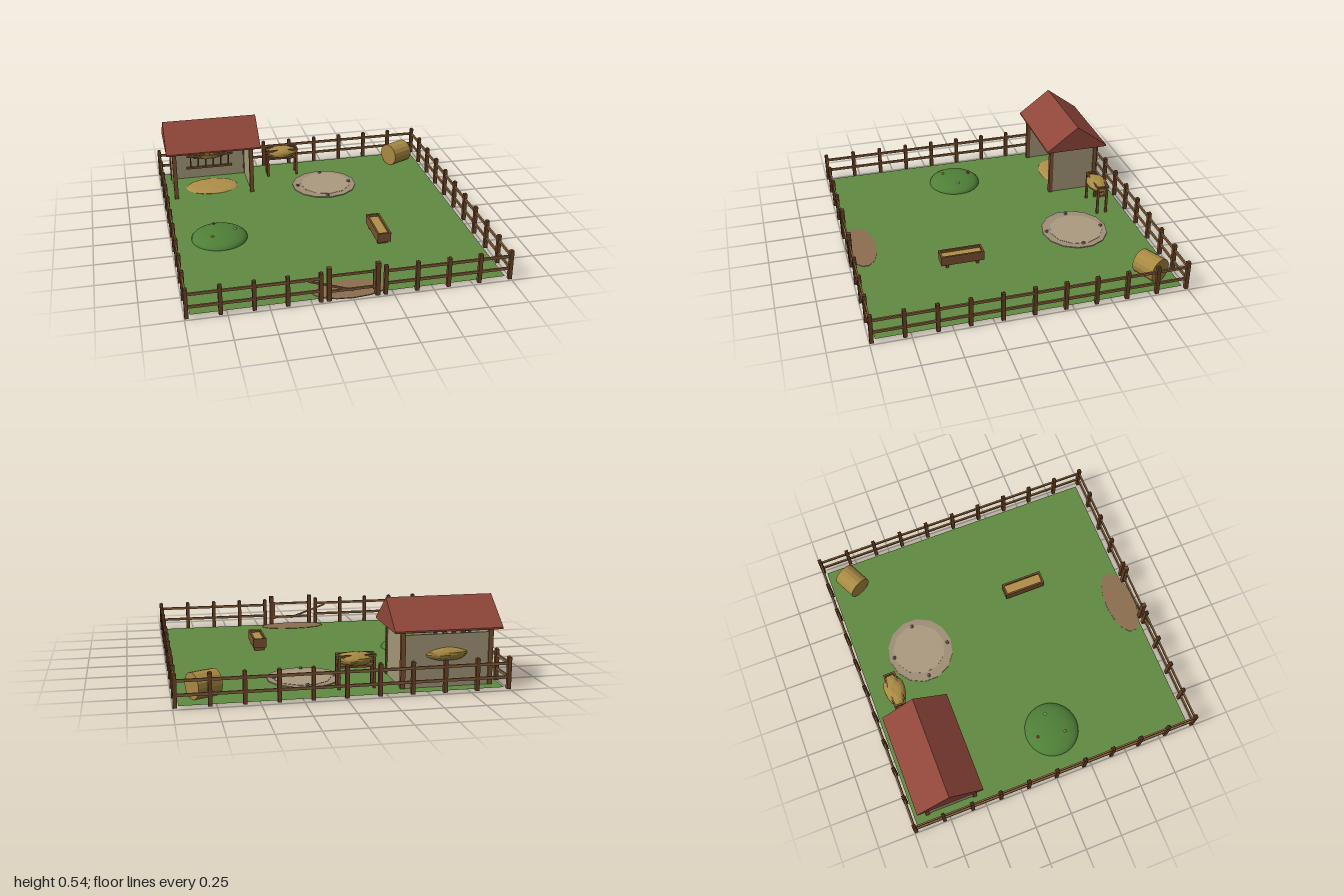
import * as THREE from 'three';

const mat = (color, flatShading = true) =>
  new THREE.MeshStandardMaterial({ color, flatShading, side: THREE.DoubleSide });
const M = {
  grass: mat(0x618a42), hill: mat(0x4f8038, false), dirt: mat(0x8c6e50), sand: mat(0xa08e76),
  sandLight: mat(0xab9a80), post: mat(0x6b4426), rail: mat(0x86603a), wood: mat(0x7a5230),
  roof: mat(0x8f463a), wall: mat(0xa39778), hay: mat(0xa88a42), straw: mat(0xb08f48),
  stone: mat(0x85807a), red: mat(0xc04838), white: mat(0xe8e4d8), yellow: mat(0xd8b838),
};

function add(parent, name, geometry, material, x = 0, y = 0, z = 0) {
  const mesh = new THREE.Mesh(geometry, material);
  mesh.name = name;
  mesh.position.set(x, y, z);
  parent.add(mesh);
  return mesh;
}
const box = (p, name, m, w, h, d, x, y, z) => add(p, name, new THREE.BoxGeometry(w, h, d), m, x, y, z);

// Square bar between two points
function beam(p, name, m, a, b, t) {
  const from = new THREE.Vector3(...a), to = new THREE.Vector3(...b);
  const mesh = box(p, name, m, t, t, from.distanceTo(to), 0, 0, 0);
  mesh.position.copy(from).add(to).multiplyScalar(0.5);
  mesh.lookAt(to);
  return mesh;
}

// Ellipsoid with a gently uneven surface
function heap(p, name, m, rx, ry, rz, x, y, z, rough = 0.06) {
  const g = new THREE.SphereGeometry(1, 16, 10);
  const a = g.attributes.position, v = new THREE.Vector3();
  for (let i = 0; i < a.count; i++) {
    v.fromBufferAttribute(a, i);
    v.multiplyScalar(1 + rough * Math.sin(5 * v.x + 2 * v.y) * Math.cos(6 * v.z + 3 * v.y));
    a.setXYZ(i, v.x * rx, v.y * ry, v.z * rz);
  }
  g.computeVertexNormals();
  return add(p, name, g, m, x, y, z);
}

function group(parent, name) {
  const g = new THREE.Group();
  g.name = name;
  parent.add(g);
  return g;
}

function buildFence(root) {
  const fence = group(root, 'fence');
  const E = 0.987, step = E / 5;
  for (let i = -5; i <= 5; i++) {
    const c = i * step;
    const spots = [[c, -E]];
    if (i !== 0) spots.push([c, E]);
    if (Math.abs(i) < 5) spots.push([-E, c], [E, c]);
    for (const [x, z] of spots) {
      box(fence, 'fencePost', M.post, 0.024, 0.195, 0.024, x, 0.0975, z);
      add(fence, 'postCap', new THREE.ConeGeometry(0.017, 0.01, 4).rotateY(Math.PI / 4), M.post, x, 0.2, z);
    }
  }
  for (const y of [0.073, 0.157]) {
    box(fence, 'backRail', M.rail, 2 * E, 0.017, 0.011, 0, y, -E);
    for (const s of [-1, 1]) {
      box(fence, 'sideRail', M.rail, 0.011, 0.017, 2 * E, s * E, y, 0);
      box(fence, 'frontRail', M.rail, E - step, 0.017, 0.011, s * (E + step) / 2, y, E);
    }
  }
  // Gate with a sloping brace
  const gate = group(root, 'gate');
  for (const s of [-1, 1]) {
    box(gate, 'gatePost', M.post, 0.028, 0.222, 0.028, s * 0.148, 0.111, 0.984);
  }
  for (const y of [0.06, 0.165]) box(gate, 'gateRail', M.rail, 0.266, 0.015, 0.01, 0, y, 0.985);
  box(gate, 'gateStile', M.rail, 0.014, 0.13, 0.012, 0.126, 0.11, 0.985);
  beam(gate, 'gateBrace', M.rail, [-0.27, 0.145, 0.985], [0, 0.05, 0.985], 0.011);
}

function buildShed(root) {
  const shed = group(root, 'shed');
  const L = -0.905, R = -0.36, F = -0.55, B = -0.88, cx = (L + R) / 2, cz = (F + B) / 2;
  for (const x of [L, R]) {
    for (const z of [F, B]) box(shed, 'shedPost', M.wood, 0.028, 0.36, 0.028, x, 0.18, z);
    box(shed, 'sideWall', M.wall, 0.012, 0.325, F - B, x, 0.1675, cz);
  }
  box(shed, 'backWall', M.wall, R - L, 0.325, 0.012, cx, 0.1675, B);
  for (const z of [F, B]) box(shed, 'eaveBeam', M.wood, R - L, 0.02, 0.02, cx, 0.352, z);
  // Gabled roof, extruded along x
  const gable = new THREE.Shape([[-0.22, 0.355], [0.22, 0.355], [0.22, 0.366], [0, 0.53], [-0.22, 0.366]]
    .map(([x, y]) => new THREE.Vector2(x, y)));
  const roof = new THREE.ExtrudeGeometry(gable, { depth: 0.665, bevelEnabled: false });
  roof.rotateY(Math.PI / 2);
  add(shed, 'roof', roof, M.roof, -0.96, 0, -0.72);
  // Straw bedding and hay rack
  heap(shed, 'strawBed', M.straw, 0.19, 0.016, 0.13, cx, 0.008, -0.69, 0.03);
  beam(shed, 'rackRail', M.wood, [-0.8, 0.21, -0.8], [-0.46, 0.21, -0.8], 0.014);
  beam(shed, 'rackRail', M.wood, [-0.8, 0.09, -0.86], [-0.46, 0.09, -0.86], 0.014);
  for (let i = 0; i < 6; i++) {
    const x = -0.77 + i * 0.056;
    beam(shed, 'rackBar', M.wood, [x, 0.09, -0.86], [x, 0.21, -0.8], 0.009);
  }
  heap(shed, 'rackHay', M.hay, 0.14, 0.045, 0.065, -0.635, 0.205, -0.86);
}

function buildFeeder(root) {
  const feeder = group(root, 'hayFeeder');
  feeder.position.set(-0.092, 0, -0.803);
  for (const sx of [-1, 1]) {
    for (const sz of [-1, 1]) {
      box(feeder, 'feederLeg', M.wood, 0.015, 0.21, 0.015, sx * 0.108, 0.105, sz * 0.032);
    }
    box(feeder, 'feederEnd', M.wood, 0.012, 0.014, 0.07, sx * 0.112, 0.207, 0);
  }
  for (const sz of [-1, 1]) {
    box(feeder, 'feederRail', M.wood, 0.235, 0.014, 0.012, 0, 0.207, sz * 0.035);
    box(feeder, 'feederLowRail', M.wood, 0.235, 0.014, 0.012, 0, 0.14, sz * 0.022);
  }
  box(feeder, 'feederBase', M.wood, 0.22, 0.01, 0.05, 0, 0.14, 0);
  heap(feeder, 'feederHay', M.hay, 0.115, 0.042, 0.07, 0, 0.182, 0);
}

function buildTrough(root) {
  const trough = group(root, 'trough');
  trough.position.set(0.351, 0, 0.295);
  box(trough, 'troughBase', M.wood, 0.08, 0.012, 0.276, 0, 0.036, 0);
  box(trough, 'feed', M.straw, 0.068, 0.035, 0.264, 0, 0.06, 0);
  for (const s of [-1, 1]) {
    box(trough, 'troughSide', M.wood, 0.012, 0.065, 0.284, s * 0.039, 0.0625, 0);
    box(trough, 'troughEnd', M.wood, 0.08, 0.065, 0.012, 0, 0.0625, s * 0.136);
    box(trough, 'troughFoot', M.wood, 0.07, 0.035, 0.018, 0, 0.0175, s * 0.1);
  }
}

export function createModel() {
  const root = new THREE.Group();
  root.name = 'paddock';

  // Ground and bare patches
  const ground = add(root, 'ground', new THREE.PlaneGeometry(1.935, 1.935), M.grass, 0, 0.005, -0.003);
  ground.rotation.x = -Math.PI / 2;
  const disc = (name, m, r, h, n, x, y, z, sz = 1) =>
    add(root, name, new THREE.CylinderGeometry(r, r, h, n).scale(1, 1, sz), m, x, y, z);
  disc('gatePatch', M.dirt, 0.235, 0.006, 14, 0, 0.005, 0.897, 0.43);
  disc('sandPit', M.sand, 0.232, 0.01, 14, 0.175, 0.006, -0.543, 0.96);
  disc('sandCentre', M.sandLight, 0.18, 0.004, 11, 0.185, 0.011, -0.55);
  for (const [x, z] of [[0.185, -0.73], [-0.02, -0.55], [0.36, -0.54], [0.16, -0.35]]) {
    add(root, 'stone', new THREE.IcosahedronGeometry(0.014, 0), M.stone, x, 0.013, z);
  }

  // Grassy mound with flowers
  const mound = new THREE.SphereGeometry(1, 28, 8, 0, Math.PI * 2, 0, Math.PI / 2).scale(0.186, 0.06, 0.182);
  add(root, 'mound', mound, M.hill, -0.68, 0.003, 0.092);
  for (const [m, x, y, z] of [[M.red, -0.705, 0.054, -0.018], [M.white, -0.575, 0.054, 0.086], [M.yellow, -0.735, 0.058, 0.166]]) {
    add(root, 'flower', new THREE.SphereGeometry(0.01, 6, 5), m, x, y, z);
  }

  buildFence(root);
  buildShed(root);
  buildFeeder(root);
  buildTrough(root);

  // Round hay bale lying on its side
  const bale = add(root, 'hayBale', new THREE.CylinderGeometry(0.081, 0.081, 0.16, 16).rotateZ(Math.PI / 2),
    M.hay, 0.812, 0.083, -0.82);
  bale.rotation.y = 0.45;
  return root;
}
